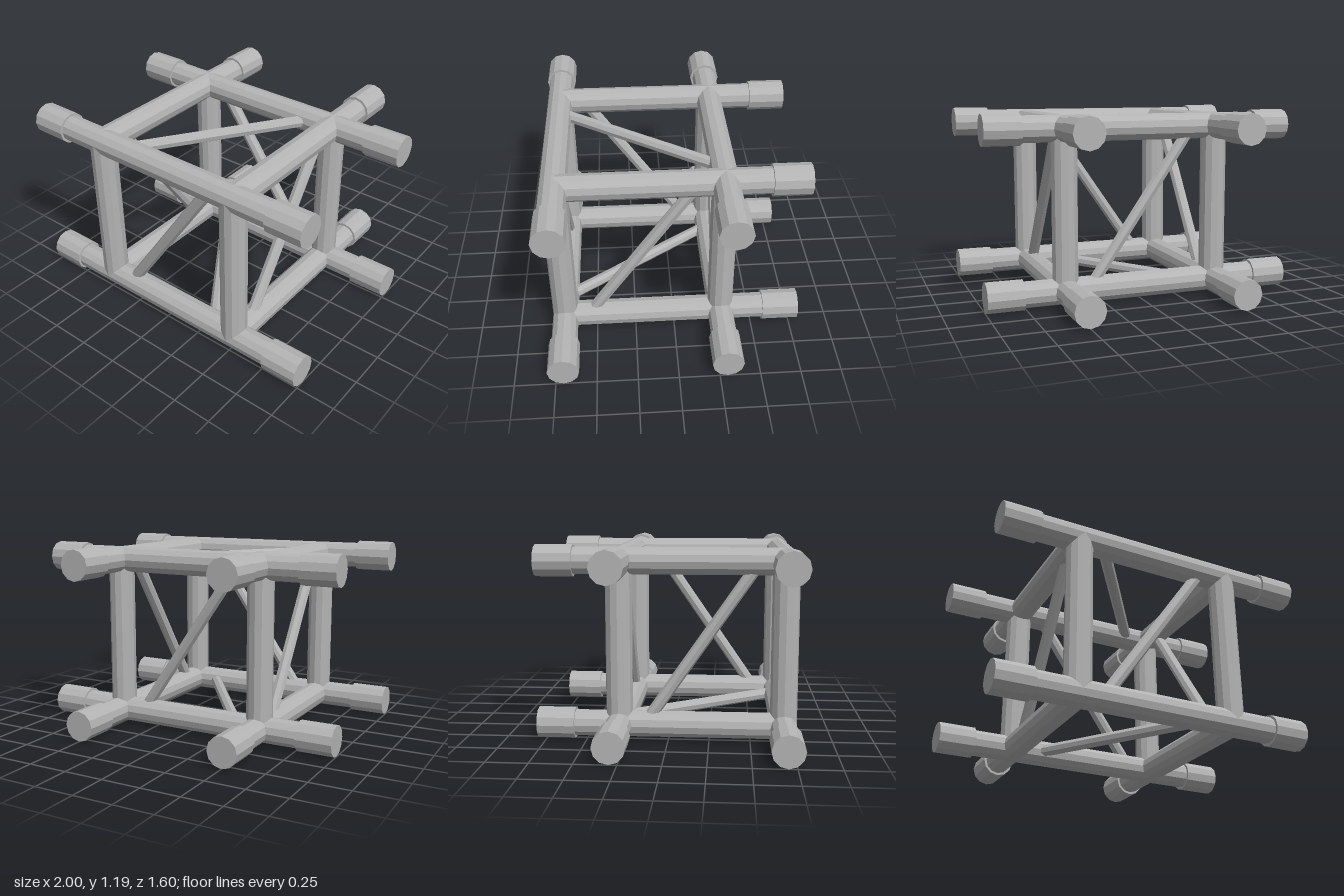
import * as THREE from 'three';

const UP = new THREE.Vector3(0, 1, 0);
const TUBE_R = 0.082, SLEEVE_R = 0.097, BRACE_R = 0.038;
const LOW = 0.1, HIGH = 1.1, FRONT = 0.7, BACK = -0.3, SIDE = 0.5;

export function createModel() {
  const model = new THREE.Group();
  model.name = 'trussJunction';
  const metal = new THREE.MeshStandardMaterial({ color: 0xb4b4b4, flatShading: true });
  metal.name = 'greyMetal';

  // Straight faceted tube between two points
  function tube(name, from, to, radius, sides = 12) {
    const a = new THREE.Vector3(...from), b = new THREE.Vector3(...to);
    const dir = b.clone().sub(a);
    const mesh = new THREE.Mesh(new THREE.CylinderGeometry(radius, radius, dir.length(), sides), metal);
    mesh.name = name;
    mesh.position.copy(a).add(b).multiplyScalar(0.5);
    mesh.quaternion.setFromUnitVectors(UP, dir.normalize());
    model.add(mesh);
  }

  for (const y of [LOW, HIGH]) {
    // Long chords across, with a sleeve at each end
    for (const z of [FRONT, BACK]) {
      tube('crossChord', [-0.98, y, z], [0.98, y, z], TUBE_R);
      for (const s of [-1, 1]) tube('crossSleeve', [s * 0.77, y, z], [s, y, z], SLEEVE_R);
    }
    // Chords running back, with a sleeve at the rear end
    for (const x of [-SIDE, SIDE]) {
      tube('rearChord', [x, y, FRONT], [x, y, -0.78], TUBE_R);
      tube('rearSleeve', [x, y, -0.57], [x, y, -0.8], SLEEVE_R);
    }
  }

  // Corner posts
  for (const x of [-SIDE, SIDE])
    for (const z of [FRONT, BACK]) tube('post', [x, LOW, z], [x, HIGH, z], TUBE_R);

  // Diagonal braces, one per face; opposite faces lean opposite ways
  const d = 0.345, mid = (FRONT + BACK) / 2;
  for (const s of [1, -1]) {
    tube('frontBackBrace', [-s * d, LOW, mid + s * 0.5], [s * d, HIGH, mid + s * 0.5], BRACE_R, 8);
    tube('sideBrace', [s * SIDE, LOW, mid + s * d], [s * SIDE, HIGH, mid - s * d], BRACE_R, 8);
    const y = s > 0 ? HIGH : LOW;
    tube('topBottomBrace', [-s * d, y, FRONT], [s * d, y, BACK], BRACE_R, 8);
  }
  return model;
}
